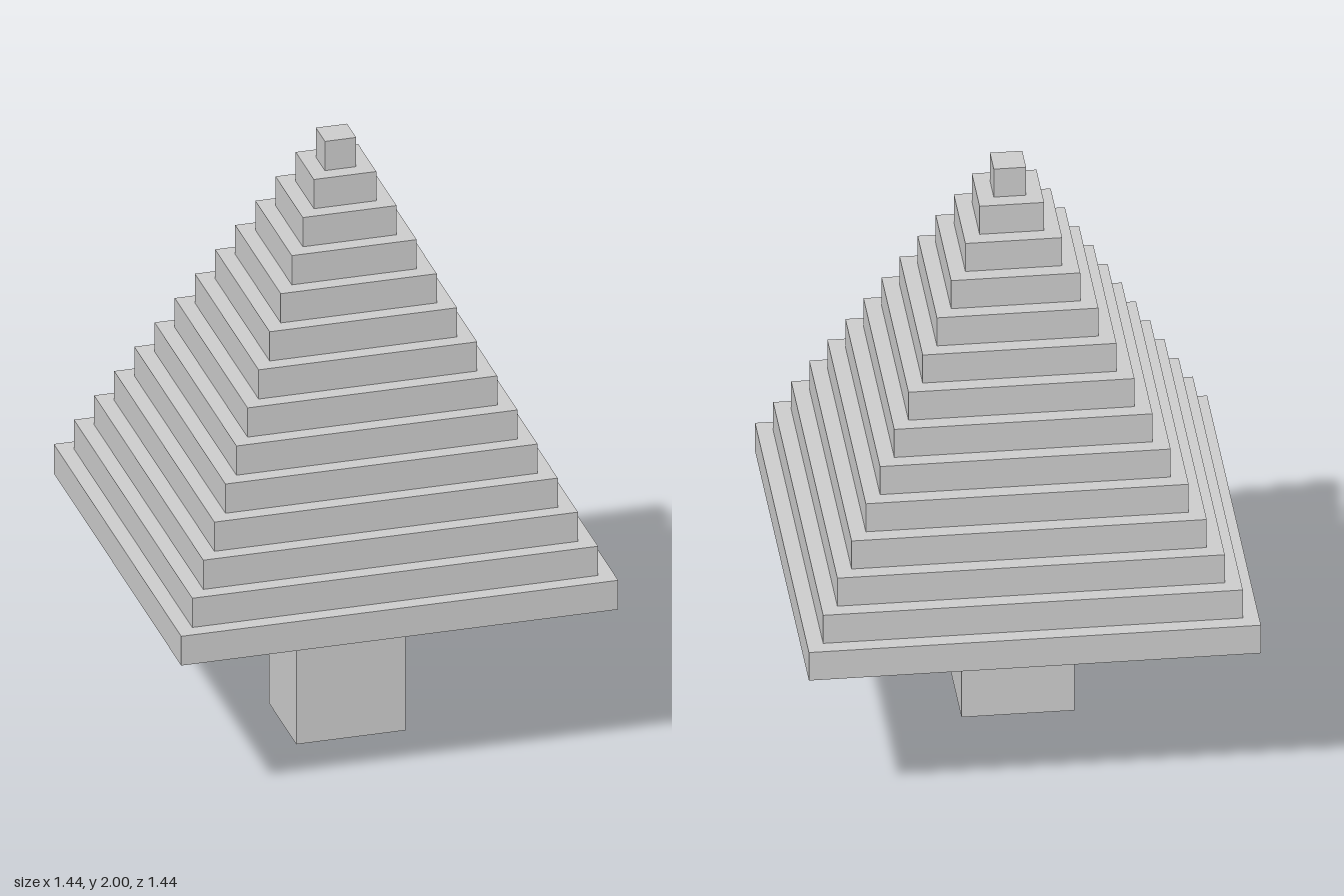
import * as THREE from 'three';

const UNIT = 2 / 39; // the whole tree sits on a grid 39 units tall
const TIERS = 14;
const TIER_HEIGHT = 2 * UNIT;
const TRUNK_HEIGHT = 11 * UNIT;

export function createModel() {
  const tree = new THREE.Group();
  tree.name = 'steppedTree';
  const material = new THREE.MeshStandardMaterial({ color: 0xcccccc, flatShading: true });

  function addBox(parent, name, size, position) {
    const mesh = new THREE.Mesh(new THREE.BoxGeometry(...size), material);
    mesh.name = name;
    mesh.position.set(...position);
    parent.add(mesh);
  }

  // Trunk, set off-centre towards the front and right
  addBox(tree, 'trunk', [7 * UNIT, TRUNK_HEIGHT, 6 * UNIT], [-0.5 * UNIT, TRUNK_HEIGHT / 2, 2 * UNIT]);

  // Square foliage tiers, shrinking evenly to the tip
  const foliage = new THREE.Group();
  foliage.name = 'foliage';
  for (let i = 0; i < TIERS; i++) {
    const width = 2 * UNIT * (TIERS - i);
    const y = TRUNK_HEIGHT + TIER_HEIGHT * (i + 0.5);
    addBox(foliage, `foliageTier${i + 1}`, [width, TIER_HEIGHT, width], [0, y, 0]);
  }
  tree.add(foliage);

  return tree;
}
